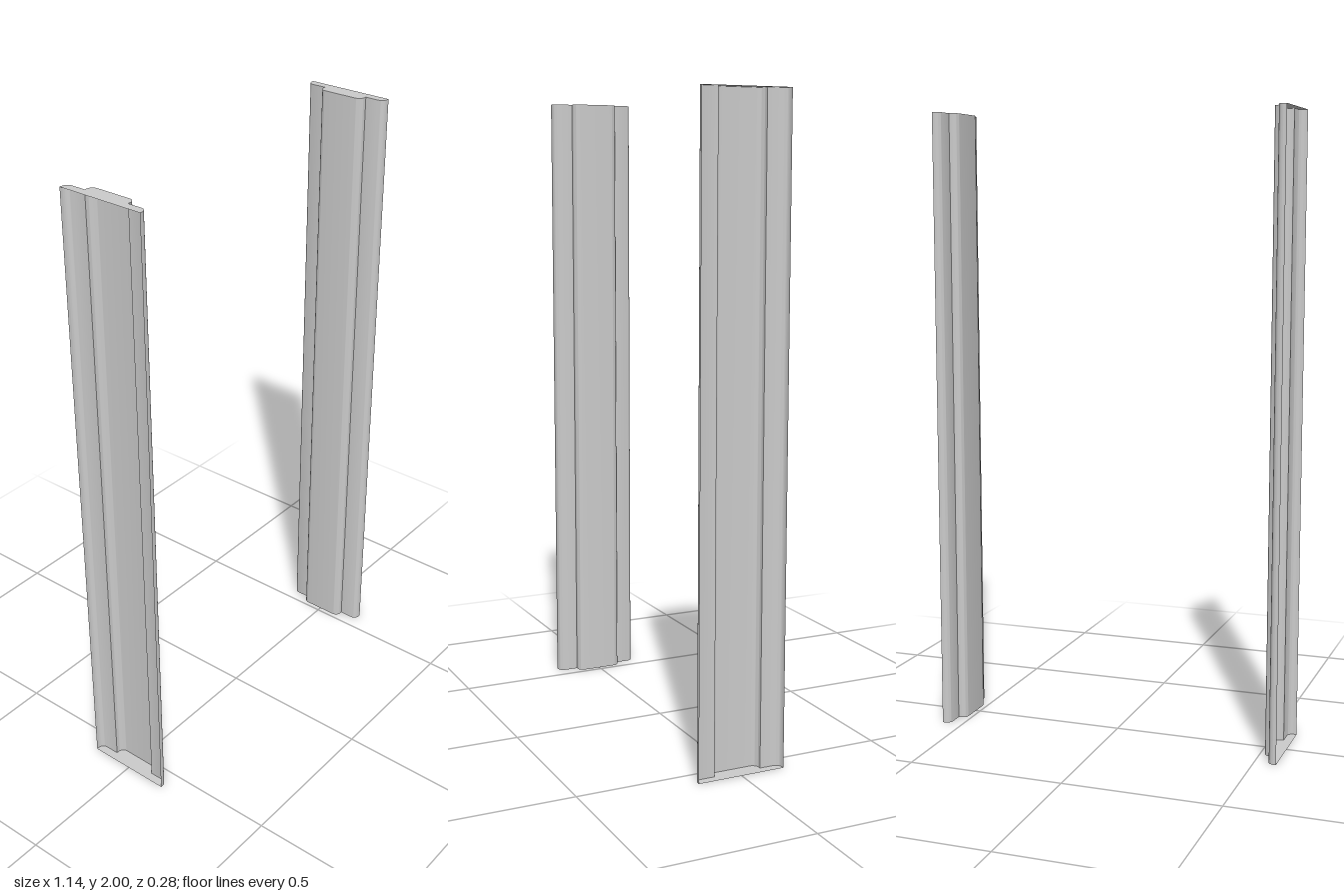
import * as THREE from 'three';
import { toCreasedNormals } from 'three/addons/utils/BufferGeometryUtils.js';

const HEIGHT = 2;
const OUTER = 0.57;   // open outer side
const STEP = 0.5425;  // face of the wide flanges
const INNER = 0.515;  // face of the raised centre
const HALF_W = 0.142, HALF_C = 0.077, R = 0.02;

// Stepped profile with rounded shoulders, symmetric about the middle
function profile() {
  const s = new THREE.Shape();
  s.moveTo(OUTER, HALF_W);
  s.lineTo(STEP + R, HALF_W);
  s.absarc(STEP + R, HALF_W - R, R, Math.PI / 2, Math.PI, false);
  s.lineTo(STEP, HALF_C);
  s.absarc(INNER + R, HALF_C - R, R, Math.PI / 2, Math.PI, false);
  s.absarc(INNER + R, R - HALF_C, R, Math.PI, Math.PI * 1.5, false);
  s.lineTo(STEP, -HALF_C);
  s.absarc(STEP + R, R - HALF_W, R, Math.PI, Math.PI * 1.5, false);
  s.lineTo(OUTER, -HALF_W);
  return s;
}

// Extrude upright, then drop the flat outer wall so the shell stays hollow
function shellGeometry() {
  const solid = new THREE.ExtrudeGeometry(profile(), {
    depth: HEIGHT, bevelEnabled: false, curveSegments: 8,
  }).rotateX(-Math.PI / 2);
  const p = solid.attributes.position;
  const kept = [];
  for (let i = 0; i < p.count; i += 3) {
    const onOuter = [0, 1, 2].every((k) => Math.abs(p.getX(i + k) - OUTER) < 1e-5);
    if (onOuter) continue;
    for (let k = 0; k < 3; k++) kept.push(p.getX(i + k), p.getY(i + k), p.getZ(i + k));
  }
  const g = new THREE.BufferGeometry();
  g.setAttribute('position', new THREE.Float32BufferAttribute(kept, 3));
  return toCreasedNormals(g, Math.PI / 5);
}

export function createModel() {
  const model = new THREE.Group();
  model.name = 'doorJambPair';
  const material = new THREE.MeshStandardMaterial({ color: 0xcccccc, side: THREE.DoubleSide });
  const geometry = shellGeometry();

  // Two facing jambs, raised centres turned toward each other
  [['leftJamb', 0], ['rightJamb', Math.PI]].forEach(([name, turn]) => {
    const jamb = new THREE.Mesh(geometry, material);
    jamb.name = name;
    jamb.rotation.y = turn;
    model.add(jamb);
  });
  return model;
}
